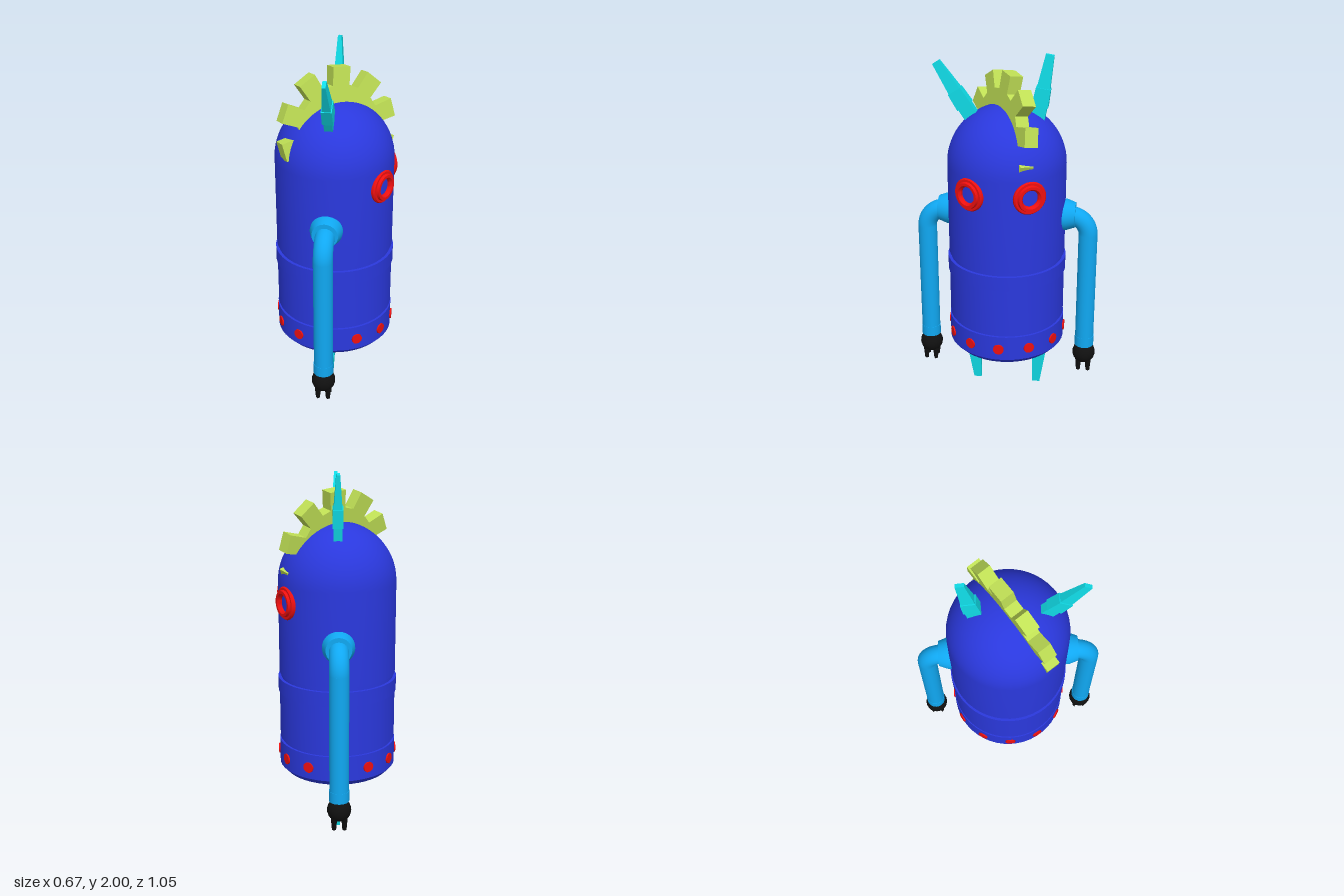
import * as THREE from 'three';
import { toCreasedNormals } from 'three/addons/utils/BufferGeometryUtils.js';

const paint = (color) => new THREE.MeshStandardMaterial({ color });
const BLUE = paint(0x2a38dd), SKY = paint(0x10a8f2), TEAL = paint(0x10dbe6);
const LIME = paint(0xc0e055), RED = paint(0xee1010), BLACK = paint(0x101010);

function add(parent, name, geometry, material, x = 0, y = 0, z = 0) {
  const mesh = new THREE.Mesh(geometry, material);
  mesh.name = name;
  mesh.position.set(x, y, z);
  parent.add(mesh);
  return mesh;
}

function group(parent, name) {
  const g = new THREE.Group();
  g.name = name;
  parent.add(g);
  return g;
}

function lathe(points, segments = 48) {
  const profile = points.map(([r, y]) => new THREE.Vector2(r, y));
  return toCreasedNormals(new THREE.LatheGeometry(profile, segments), 0.5);
}

// Box standing on y = 0 whose top has its own width, depth and z shift
function taperedBox(w0, d0, w1, d1, h, shift = 0) {
  const g = new THREE.BoxGeometry(1, h, 1).translate(0, h / 2, 0).toNonIndexed();
  const p = g.attributes.position;
  for (let i = 0; i < p.count; i++) {
    const top = p.getY(i) > h / 2;
    p.setX(i, p.getX(i) * (top ? w1 : w0));
    p.setZ(i, p.getZ(i) * (top ? d1 : d0) + (top ? shift : 0));
  }
  g.computeVertexNormals();
  return g;
}

// Capsule body with grooves, a raised belt and a bevelled foot
function buildBody(root) {
  const points = [
    [0, 0.3], [0.3, 0.3], [0.33, 0.332], [0.33, 0.477], [0.317, 0.477], [0.317, 0.492],
    [0.327, 0.492], [0.327, 0.77], [0.334, 0.77], [0.334, 0.852], [0.317, 0.852],
    [0.317, 0.877], [0.327, 0.877],
  ];
  const steps = 16;
  for (let i = 0; i <= steps; i++) {
    const a = (i / steps) * Math.PI / 2;
    points.push([i === steps ? 0 : 0.327 * Math.cos(a), 1.395 + 0.327 * Math.sin(a)]);
  }
  add(root, 'body', lathe(points), BLUE);

  // Ring of rivets round the foot
  const rivets = group(root, 'rivets');
  const rivet = new THREE.CylinderGeometry(0.03, 0.03, 0.03, 16).rotateZ(-Math.PI / 2);
  for (let i = 0; i < 12; i++) {
    const a = (i / 12) * Math.PI * 2;
    const m = add(rivets, 'rivet', rivet, RED, 0.322 * Math.cos(a), 0.4, -0.322 * Math.sin(a));
    m.rotation.y = a;
  }
}

// Stepped ring eyes on the +x side
function buildEyes(root) {
  const ring = lathe([
    [0.045, -0.03], [0.092, -0.03], [0.092, 0.022], [0.086, 0.03], [0.074, 0.03],
    [0.07, 0.044], [0.055, 0.044], [0.045, 0.03], [0.045, -0.03],
  ], 32).rotateZ(-Math.PI / 2);
  for (const side of [1, -1]) {
    const a = side * Math.PI / 6;
    const eye = add(root, 'eye', ring, RED, 0.305 * Math.cos(a), 1.305, 0.305 * Math.sin(a));
    eye.rotation.y = -a;
  }
}

// Arm on the +z side: shoulder cone, elbow, forearm, cuff and clawed hand
function buildArm(root, name) {
  const arm = group(root, name);
  const z = 0.458, r = 0.053;
  const shoulder = lathe([[0, 0.28], [0.088, 0.28], [0.088, 0.335], [0.07, 0.385], [0, 0.385]], 32);
  add(arm, 'shoulder', shoulder.rotateX(Math.PI / 2), SKY, 0, 1.103, 0);
  const elbow = new THREE.TorusGeometry(0.11, r, 24, 16, Math.PI / 2).rotateY(-Math.PI / 2);
  add(arm, 'elbow', elbow, SKY, 0, 0.99, 0.348);
  add(arm, 'forearm', new THREE.CylinderGeometry(r, r, 0.65, 24), SKY, 0, 0.667, z);
  add(arm, 'cuff', new THREE.CylinderGeometry(0.055, 0.055, 0.06, 24), SKY, 0, 0.312, z);
  add(arm, 'hand', new THREE.SphereGeometry(0.066, 20, 14), BLACK, 0, 0.228, z);
  for (let i = 0; i < 4; i++) {
    const a = (i + 0.5) * Math.PI / 2;
    const finger = taperedBox(0.016, 0.016, 0.026, 0.026, 0.08);
    const m = add(arm, 'finger', finger, BLACK, 0.04 * Math.sin(a), 0.12, z + 0.04 * Math.cos(a));
    m.rotation.y = a;
  }
  return arm;
}

// Pointed leg on the +z side with a straight inner edge
function buildLeg(root, name) {
  const leg = group(root, name);
  add(leg, 'hipDisc', new THREE.CylinderGeometry(0.078, 0.07, 0.02, 24), TEAL, 0, 0.292, 0.198);
  add(leg, 'thigh', taperedBox(0.056, 0.084, 0.056, 0.084, 0.065), TEAL, 0, 0.22, 0.197);
  add(leg, 'shin', taperedBox(0.022, 0.044, 0.05, 0.08, 0.22, 0.018), TEAL, 0, 0, 0.177);
  return leg;
}

// Spiked antenna made of three stacked blocks
function buildAntenna(root, name, y, z, lean) {
  const antenna = group(root, name);
  add(antenna, 'base', taperedBox(0.046, 0.078, 0.046, 0.078, 0.1), TEAL);
  add(antenna, 'collar', taperedBox(0.058, 0.088, 0.056, 0.078, 0.1), TEAL, 0, 0.1, 0);
  add(antenna, 'tip', taperedBox(0.046, 0.07, 0.02, 0.045, 0.18), TEAL, 0, 0.2, 0);
  antenna.position.set(0, y, z);
  antenna.rotation.x = lean;
}

// Ten-toothed cog standing across the crown
function buildCrest(root) {
  const shape = new THREE.Shape();
  const teeth = 10, root0 = 0.24, tip = 0.338, start = THREE.MathUtils.degToRad(12);
  for (let i = 0; i < teeth; i++) {
    const a = start + (i / teeth) * Math.PI * 2;
    for (const [r, d] of [[root0, -0.2], [tip, -0.15], [tip, 0.15], [root0, 0.2]]) {
      const x = r * Math.cos(a + d), y = r * Math.sin(a + d);
      if (i === 0 && d === -0.2) shape.moveTo(x, y);
      else shape.lineTo(x, y);
    }
  }
  shape.closePath();
  const hole = new THREE.Path();
  hole.absarc(0, 0, 0.14, 0, Math.PI * 2, true);
  shape.holes.push(hole);
  const cog = new THREE.ExtrudeGeometry(shape, { depth: 0.076, bevelEnabled: false });
  const crest = add(root, 'crest', cog.translate(0, 0, -0.038), LIME, 0.015, 1.567, 0.025);
  crest.rotation.set(-0.14, 0.6, 0, 'YXZ');
}

export function createModel() {
  const model = new THREE.Group();
  model.name = 'robot';
  buildBody(model);
  buildEyes(model);
  buildCrest(model);

  // Limbs are built on +z and turned round for -z
  buildArm(model, 'armFront');
  buildArm(model, 'armBack').rotation.y = Math.PI;
  buildLeg(model, 'legFront');
  buildLeg(model, 'legBack').rotation.y = Math.PI;

  buildAntenna(model, 'antennaFront', 1.62, 0.173, 0.576);
  buildAntenna(model, 'antennaBack', 1.625, -0.161, -0.175);
  return model;
}
